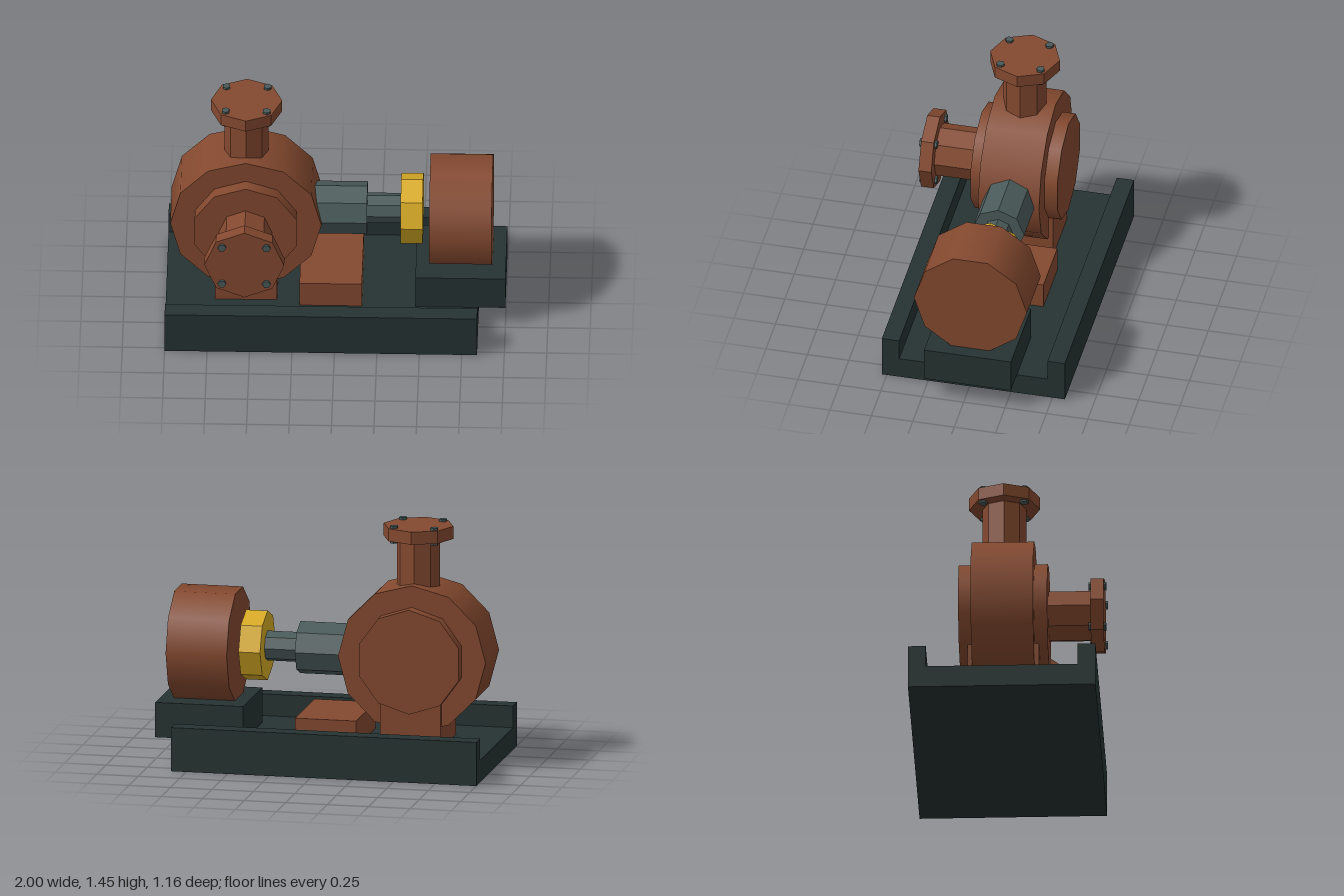
import * as THREE from 'three';

const material = (name, color) => {
  const m = new THREE.MeshStandardMaterial({ color });
  m.name = name;
  return m;
};

export function createModel() {
  const rust = material('rust paint', 0x84492f);
  const iron = material('dark iron', 0x263332);
  const steel = material('grey steel', 0x4a5a5a);
  const yellow = material('safety yellow', 0xd8ab25);

  const model = new THREE.Group();
  model.name = 'pumpSet';
  const CX = -0.53, CY = 0.66, CZ = -0.023; // pump centre

  const add = (name, geometry, mat, parent = model) => {
    const mesh = new THREE.Mesh(geometry, mat);
    mesh.name = name;
    parent.add(mesh);
    return mesh;
  };

  // Box given by its limits on each axis
  const box = (name, mat, [x0, x1], [y0, y1], [z0, z1], parent) => {
    const g = new THREE.BoxGeometry(x1 - x0, y1 - y0, z1 - z0);
    g.translate((x0 + x1) / 2, (y0 + y1) / 2, (z0 + z1) / 2);
    return add(name, g, mat, parent);
  };

  // Prism from a to b along an axis; few-sided ones are faceted, others smooth
  const drum = (name, mat, axis, r, sides, a, b, centre, parent, spin = 0) => {
    let g = new THREE.CylinderGeometry(r, r, b - a, sides);
    g.rotateY(spin);
    if (sides < 10) {
      g = g.toNonIndexed();
      g.computeVertexNormals();
    }
    if (axis === 'x') g.rotateZ(-Math.PI / 2);
    if (axis === 'z') g.rotateX(Math.PI / 2);
    const p = new THREE.Vector3(...centre);
    p[axis] = (a + b) / 2;
    g.translate(p.x, p.y, p.z);
    return add(name, g, mat, parent);
  };

  // Channel-shaped base with two side rails
  const base = new THREE.Group();
  base.name = 'base';
  model.add(base);
  const baseShape = new THREE.Shape([
    [0.575, 0], [0.575, 0.263], [0.47, 0.263], [0.47, 0.132],
    [-0.425, 0.132], [-0.425, 0.263], [-0.53, 0.263], [-0.53, 0],
  ].map(([x, y]) => new THREE.Vector2(x, y)));
  const channel = new THREE.ExtrudeGeometry(baseShape, { depth: 1.84, bevelEnabled: false });
  channel.rotateY(Math.PI / 2); // profile x becomes -z, depth becomes x
  channel.translate(-1, 0, 0);
  add('baseChannel', channel, iron, base);
  box('motorPlinth', iron, [0.47, 1], [0.134, 0.344], [-0.286, 0.239], base);

  // Pump feet
  box('pumpFoot', rust, [-0.71, -0.345], [0.13, 0.405], [-0.235, 0.187]);
  box('bearingPad', rust, [-0.212, 0.155], [0.13, 0.291], [-0.29, 0.237]);

  // Pump casing and cover plates
  const centre = [CX, CY, CZ];
  drum('casing', rust, 'z', 0.445, 12, -0.208, 0.16, centre);
  drum('casingCovers', rust, 'z', 0.315, 10, -0.286, 0.239, centre);

  // Pipe stub with a bolted flange
  const port = (name, axis, pipeR, flangeR, boltOffset, start, f0, f1) => {
    const g = new THREE.Group();
    g.name = name;
    model.add(g);
    drum(name + 'Pipe', rust, axis, pipeR, 8, start, f0 + 0.01, centre, g);
    drum(name + 'Flange', rust, axis, flangeR, 8, f0, f1, centre, g);
    for (const u of [-1, 1]) for (const v of [-1, 1]) {
      const x = CX + u * boltOffset;
      const p = axis === 'z' ? [x, CY + v * boltOffset, 0] : [x, 0, CZ + v * boltOffset];
      drum(name + 'Bolt', steel, axis, 0.025, 6, f0 - 0.014, f1 + 0.014, p, g,
        axis === 'z' ? Math.PI / 6 : 0);
    }
  };
  port('inlet', 'z', 0.157, 0.235, 0.131, 0.1, 0.49, 0.567);
  port('outlet', 'y', 0.13, 0.21, 0.121, 0.95, 1.358, 1.434);

  // Drive line
  drum('bearingHousing', steel, 'x', 0.157, 8, -0.3, 0.182, centre);
  drum('shaft', steel, 'x', 0.09, 8, 0.15, 0.4, centre);
  drum('coupling', yellow, 'x', 0.21, 8, 0.38, 0.51, centre);
  drum('motor', rust, 'x', 0.341, 10, 0.552, 0.92, centre);

  return model;
}
